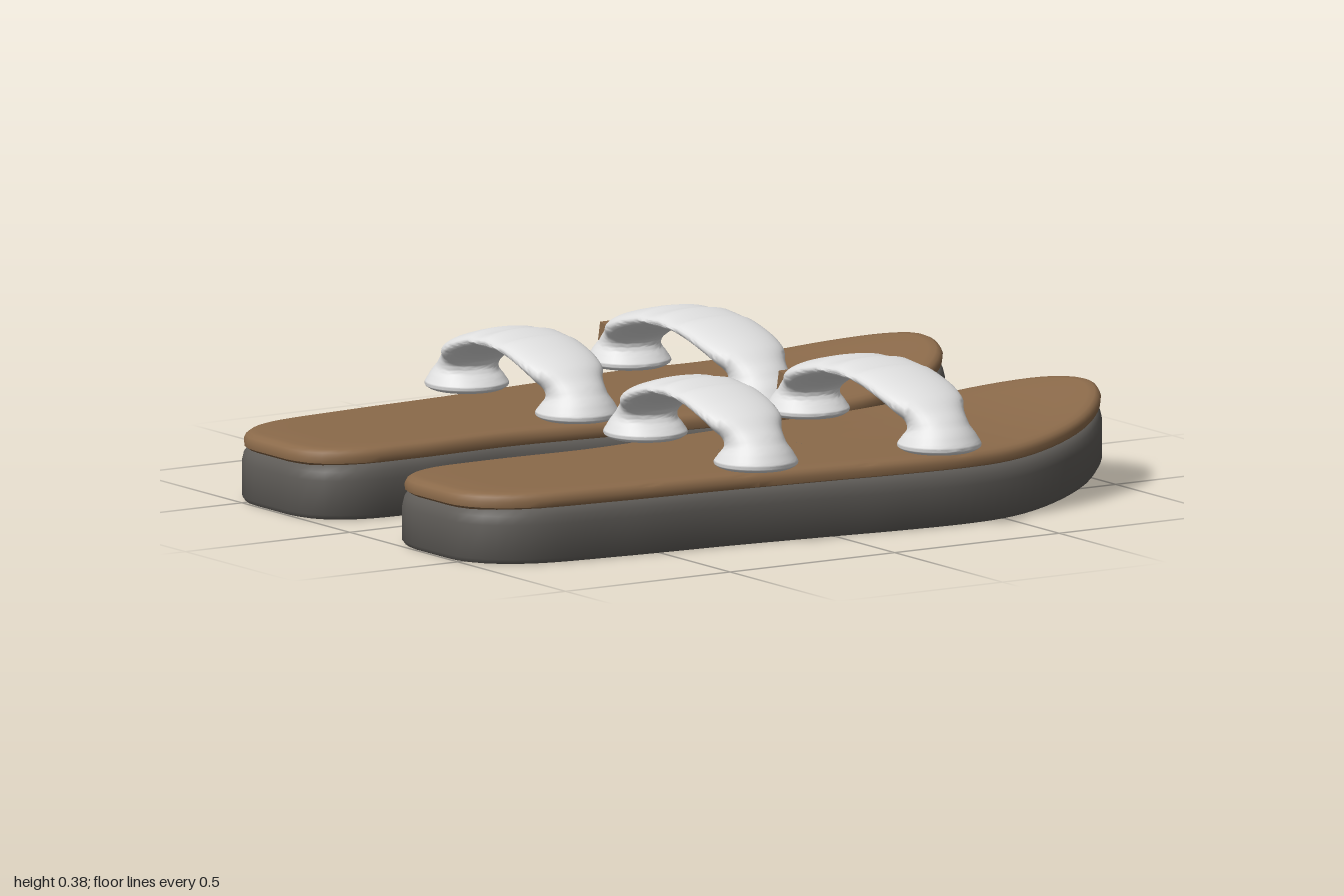
import * as THREE from 'three';
import { toCreasedNormals } from 'three/addons/utils/BufferGeometryUtils.js';

// Skin a series of equal-length closed rings of Vector3
function loft(rings, crease) {
  const n = rings[0].length, pos = [], idx = [];
  rings.forEach(r => r.forEach(p => pos.push(p.x, p.y, p.z)));
  for (let j = 0; j < rings.length - 1; j++) {
    for (let i = 0; i < n; i++) {
      const a = j * n + i, b = j * n + (i + 1) % n, c = a + n, d = b + n;
      if (j > 0) idx.push(a, c, b);
      if (j < rings.length - 2) idx.push(b, c, d);
      if (j === 0) idx.pop(), idx.pop(), idx.pop(), idx.push(b, c, d);
    }
  }
  const g = new THREE.BufferGeometry();
  g.setAttribute('position', new THREE.Float32BufferAttribute(pos, 3));
  g.setIndex(idx);
  return toCreasedNormals(g, crease);
}

// Footprint: x along the foot, z relative to the sandal's centre line
const CENTRE = 0.4;
const footprint = [
  [-1, 0.29], [-0.97, 0.195], [-0.88, 0.135], [-0.7, 0.12], [-0.4, 0.13], [-0.2, 0.11], [0, 0.085],
  [0.2, 0.06], [0.4, 0.04], [0.6, 0.03], [0.8, 0.085], [0.9, 0.155], [0.97, 0.25], [1, 0.38],
  [0.97, 0.48], [0.9, 0.575], [0.8, 0.655], [0.6, 0.735], [0.4, 0.765], [0.2, 0.755], [0, 0.73],
  [-0.3, 0.695], [-0.6, 0.67], [-0.86, 0.63], [-0.96, 0.56], [-1, 0.47],
].map(([x, z]) => new THREE.Vector3(x, 0, z - CENTRE));
const outline = new THREE.CatmullRomCurve3(footprint, true, 'centripetal').getSpacedPoints(120).slice(0, 120);

// Toe spring
const lift = x => 0.085 * Math.pow(Math.max(0, (x - 0.45) / 0.55), 2);

// Slab following the footprint; layers are [y, inset]
function slab(layers, side, widthScale) {
  const pts = side > 0 ? outline : outline.map(p => new THREE.Vector3(p.x, 0, -p.z)).reverse();
  const ring = (y, inset, k) => pts.map(p => {
    const x = THREE.MathUtils.clamp(p.x, -1, 1) * (1 - inset) * k;
    return new THREE.Vector3(x, y + lift(x), p.z * (1 - inset / 0.36) * widthScale * k);
  });
  const fill = [0.001, 0.2, 0.4, 0.6, 0.75, 0.9];
  const [first, last] = [layers[0], layers[layers.length - 1]];
  return loft([
    ...fill.map(k => ring(...first, k)),
    ...layers.map(l => ring(...l, 1)),
    ...fill.slice().reverse().map(k => ring(...last, k)),
  ], 0.75);
}

// Half strap from foot to crown: [reach, y, lean] and [half width, half thickness]
const strapPath = new THREE.CatmullRomCurve3([
  [1, 0.19, 1.57], [1, 0.192, 1.57], [1, 0.205, 1.57], [1, 0.222, 1.54], [0.98, 0.25, 1.4], [0.93, 0.275, 1.15],
  [0.82, 0.302, 0.75], [0.6, 0.328, 0.4], [0.3, 0.35, 0.17], [0, 0.357, 0],
].map(p => new THREE.Vector3(...p)));
const strapSize = new THREE.CatmullRomCurve3([
  [0.001, 0.001], [0.09, 0.09], [0.108, 0.108], [0.1, 0.098], [0.082, 0.074], [0.084, 0.054],
  [0.105, 0.04], [0.114, 0.031], [0.115, 0.028], [0.115, 0.028],
].map(([w, t]) => new THREE.Vector3(w, t, 0)));

function strapGeometry(reach) {
  const rings = [], steps = 45, sides = 32;
  for (let s = 0; s <= steps * 2; s++) {
    const sign = s <= steps ? 1 : -1;
    const t = (s <= steps ? s : steps * 2 - s) / steps;
    const p = strapPath.getPoint(t), r = strapSize.getPoint(t);
    const ring = [];
    for (let i = 0; i < sides; i++) {
      const a = i / sides * Math.PI * 2;
      const off = Math.sin(a) * r.y;
      ring.push(new THREE.Vector3(
        Math.cos(a) * r.x,
        p.y + Math.cos(p.z) * off,
        sign * (p.x * reach + Math.sin(p.z) * off)));
    }
    rings.push(ring);
  }
  return loft(rings, 1.0);
}

export function createModel() {
  const mat = (name, color) => new THREE.MeshStandardMaterial({ name, color });
  const rubber = mat('darkGreyRubber', 0x5f5c58);
  const leather = mat('brownLeather', 0x8b6a4a);
  const white = mat('whiteStrap', 0xe0e0e0);

  const add = (parent, name, geometry, material, x = 0, y = 0, z = 0) => {
    const m = new THREE.Mesh(geometry, material);
    m.name = name;
    m.position.set(x, y, z);
    parent.add(m);
    return m;
  };

  const model = new THREE.Group();
  model.name = 'sandalPair';
  for (const side of [1, -1]) {
    const sandal = new THREE.Group();
    sandal.name = side > 0 ? 'nearSandal' : 'farSandal';
    sandal.position.z = side * CENTRE;

    add(sandal, 'sole', slab([[0, 0.008], [0.012, 0], [0.1, 0], [0.122, 0.005], [0.138, 0.016], [0.145, 0.035]], side, 1), rubber);
    add(sandal, 'insole', slab([[0.136, 0.012], [0.143, 0.002], [0.158, 0], [0.17, 0.006], [0.177, 0.016], [0.18, 0.035]], side, 0.945), leather);

    // Straps, and the small buckle on the front one
    const mid = side * 0.014;
    add(sandal, 'rearStrap', strapGeometry(0.256), white, -0.205, 0, mid);
    add(sandal, 'frontStrap', strapGeometry(0.305), white, 0.32, 0, mid);
    const buckle = add(sandal, 'buckle', new THREE.BoxGeometry(0.13, 0.05, 0.025), leather, 0.32, 0.277, mid - 0.332);
    buckle.rotation.x = 0.2;
    model.add(sandal);
  }
  return model;
}
